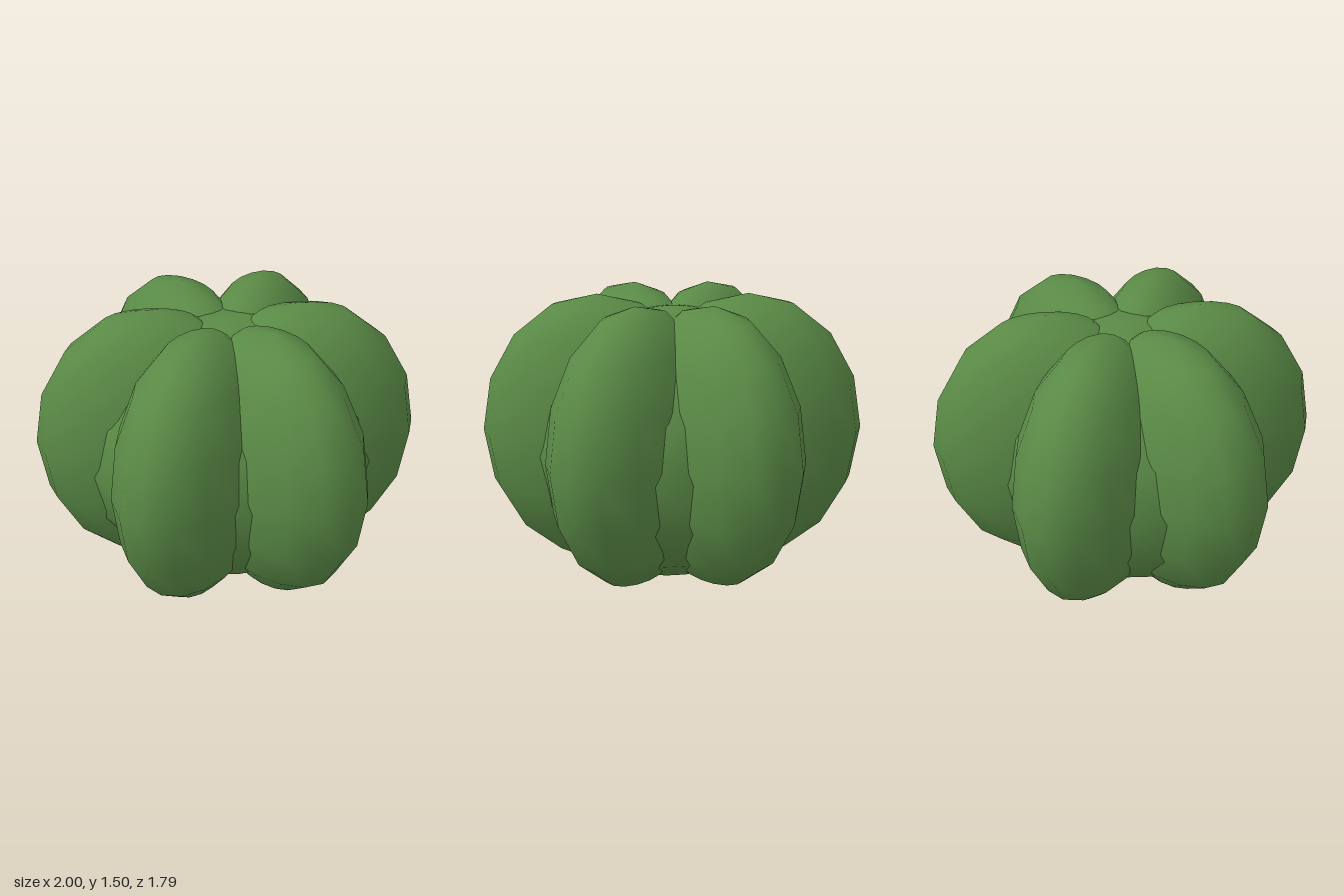
import * as THREE from 'three';

export function createModel() {
  const model = new THREE.Group();
  model.name = 'ribbedCactus';
  const green = new THREE.MeshStandardMaterial({ color: 0x5a8a46 });

  // Low-poly sphere stretched to an ellipsoid, smooth shaded
  const ellipsoid = (rx, ry, rz) => new THREE.SphereGeometry(1, 16, 8).scale(rx, ry, rz);

  // Core showing in the grooves, on top and underneath
  const core = new THREE.Mesh(ellipsoid(0.78, 0.72, 0.72), green);
  core.name = 'core';
  core.position.y = 0.72;
  model.add(core);

  // Six ribs around the core, long axis pointing outwards
  const ribGeometry = ellipsoid(0.61, 0.72, 0.36);
  for (let i = 0; i < 6; i++) {
    const angle = (i * Math.PI) / 3;
    const rib = new THREE.Mesh(ribGeometry, green);
    rib.name = `rib${i + 1}`;
    rib.position.set(0.39 * Math.cos(angle), 0.78, 0.39 * Math.sin(angle));
    rib.rotation.y = -angle;
    model.add(rib);
  }
  return model;
}
